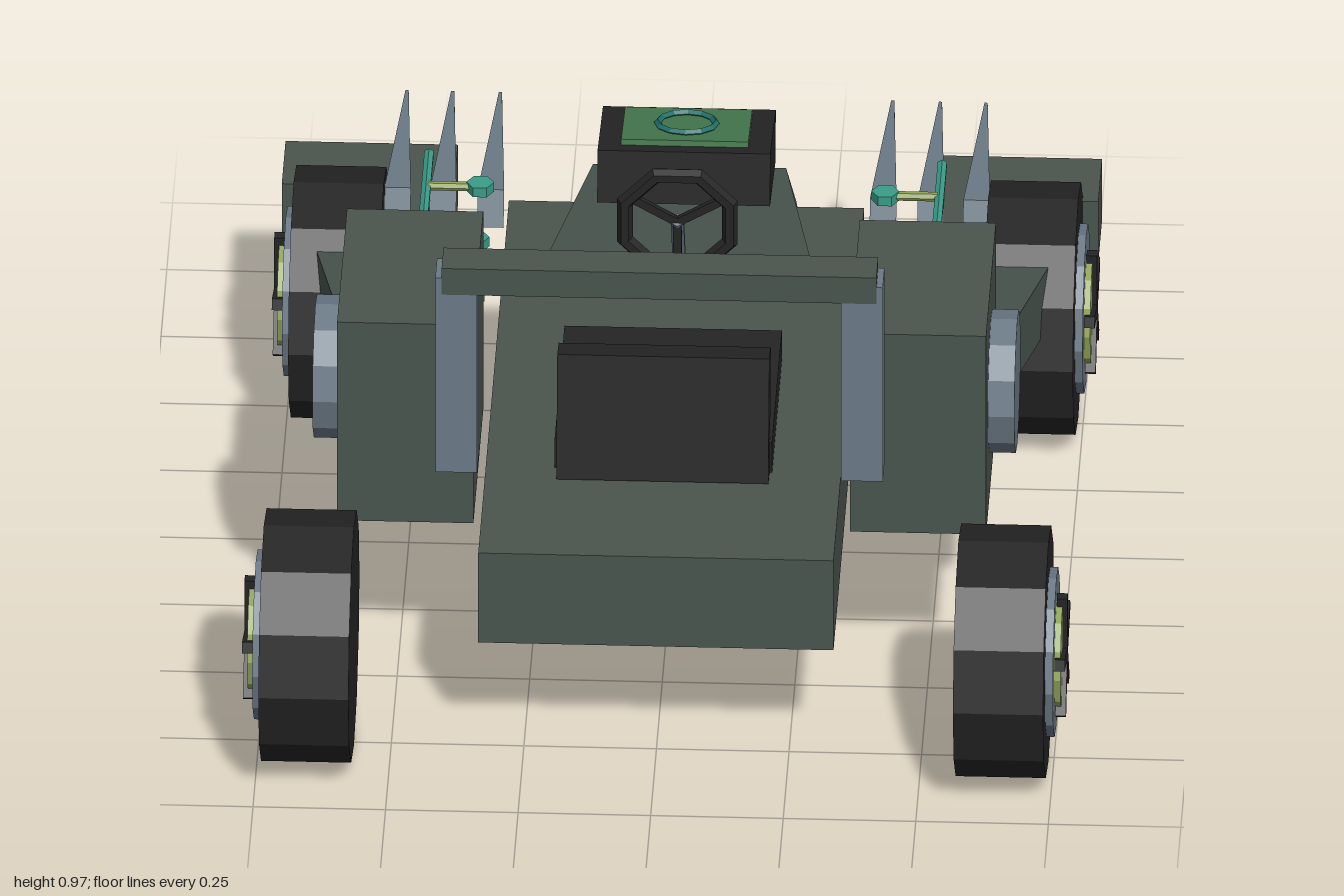
import * as THREE from 'three';

const mat = (name, color) => {
  const m = new THREE.MeshStandardMaterial({ color });
  m.name = name;
  m.flatShading = true;
  return m;
};

export function createModel() {
  const body = mat('body grey green', 0x4a554e);
  const black = mat('black rubber', 0x242424);
  const steel = mat('blue grey steel', 0x6b7a87);
  const olive = mat('olive', 0x92a55c);
  const green = mat('green', 0x45784e);
  const teal = mat('teal', 0x3a9c88);
  const darkTeal = mat('dark teal', 0x22706a);

  const model = new THREE.Group();
  model.name = 'buggy';

  const add = (name, geo, material, x = 0, y = 0, z = 0, parent = model) => {
    const m = new THREE.Mesh(geo, material);
    m.name = name;
    m.position.set(x, y, z);
    parent.add(m);
    return m;
  };
  // box given by its extents
  const block = (name, material, x0, x1, y0, y1, z0, z1, parent) =>
    add(name, new THREE.BoxGeometry(Math.abs(x1 - x0), y1 - y0, z1 - z0), material,
      (x0 + x1) / 2, (y0 + y1) / 2, (z0 + z1) / 2, parent);
  // box whose corners are placed by a rule of the corner signs
  const hexa = (rule) => {
    const g = new THREE.BoxGeometry(2, 2, 2);
    const p = g.attributes.position;
    for (let i = 0; i < p.count; i++) p.setXYZ(i, ...rule(p.getX(i), p.getY(i), p.getZ(i)));
    g.computeVertexNormals();
    return g;
  };
  // cylinder lying along x
  const disc = (r, w, n) => new THREE.CylinderGeometry(r, r, w, n).rotateZ(Math.PI / 2);

  // chassis and sloping cowl
  block('chassis', body, -0.335, 0.335, 0.24, 0.435, -0.545, 0.775);
  add('cowl', hexa((x, y, z) => {
    const top = y > 0;
    if (z > 0) return [x * (top ? 0.25 : 0.265), top ? 0.5 : 0.4, top ? -0.225 : -0.215];
    return [x * (top ? 0.182 : 0.2), top ? 0.44 : 0.35, top ? -0.68 : -0.71];
  }), body);

  // seat
  block('seatBase', black, -0.205, 0.205, 0.435, 0.5, 0.03, 0.45);
  const back = add('seatBack', new THREE.BoxGeometry(0.4, 0.25, 0.065), black, 0, 0.556, 0.445);
  back.rotation.x = -0.18;

  // tilted engine box with plate and ring
  const engine = new THREE.Group();
  engine.name = 'engine';
  engine.position.set(0, 0.54, -0.545);
  engine.rotation.x = -0.17;
  model.add(engine);
  add('engineBox', new THREE.BoxGeometry(0.326, 0.105, 0.238), black, 0, 0, 0, engine);
  add('enginePlate', new THREE.BoxGeometry(0.24, 0.012, 0.175), green, 0, 0.058, 0, engine);
  add('engineRing', new THREE.TorusGeometry(0.055, 0.007, 4, 12).rotateX(Math.PI / 2), darkTeal, 0, 0.067, 0, engine);

  // steering wheel and column
  const wheel = new THREE.Group();
  wheel.name = 'steeringWheel';
  wheel.position.set(0, 0.625, -0.155);
  model.add(wheel);
  add('steeringRim', new THREE.TorusGeometry(0.107, 0.016, 6, 8).rotateZ(Math.PI / 8), black, 0, 0, 0, wheel);
  for (let i = 0; i < 3; i++) {
    const g = new THREE.BoxGeometry(0.016, 0.1, 0.012).translate(0, 0.05, 0);
    add('steeringSpoke', g, black, 0, 0, 0, wheel).rotation.z = Math.PI / 3 + i * Math.PI * 2 / 3;
  }
  const column = add('steeringColumn', new THREE.CylinderGeometry(0.014, 0.014, 0.18, 6), steel, 0, 0.55, -0.2);
  column.rotation.x = 0.52;

  // roll bar
  block('rollBarTop', body, -0.41, 0.41, 0.918, 0.975, 0.562, 0.64);
  for (const s of [-1, 1]) block('rollBarPost', steel, s * 0.343, s * 0.422, 0.53, 0.953, 0.565, 0.638);

  for (const s of [-1, 1]) {
    // side pod with round cap
    block('sidePod', body, s * 0.355, s * 0.612, 0.355, 0.787, 0.102, 0.527);
    add('podCap', disc(0.135, 0.06, 12), steel, s * 0.632, 0.57, 0.32);

    // slanting arm from pod to rear wheel
    add('rearArm', hexa((x, y, z) => z > 0
      ? [s * 0.545 + x * 0.058, 0.45 + y * 0.065, 0.155]
      : [s * 0.656 + x * 0.058, 0.322 + y * 0.065, -0.52]), body);

    // rear fender wrapping behind the wheel
    block('fenderInner', body, s * 0.445, s * 0.6, 0.238, 0.37, -0.86, -0.43);
    block('fenderRear', body, s * 0.6, s * 0.77, 0.238, 0.37, -0.86, -0.7);

    // tapering spikes
    for (const cx of [0.37, 0.46, 0.546]) {
      add('spike', hexa((x, y, z) => {
        const top = y > 0;
        if (z > 0) return [s * cx + x * 0.025, top ? 0.442 : 0.375, top ? -0.572 : -0.545];
        return [s * cx + x * 0.003, top ? 0.417 : 0.375, top ? -0.98 : -1];
      }), steel);
    }

    // side rail with knobs
    add('rail', new THREE.CylinderGeometry(0.01, 0.01, 0.61, 6).rotateX(Math.PI / 2), teal, s * 0.484, 0.555, -0.205);
    for (const z of [-0.385, -0.18, 0.025]) {
      add('knobStem', disc(0.009, 0.085, 6), olive, s * 0.438, 0.557, z);
      add('knob', new THREE.CylinderGeometry(0.026, 0.026, 0.02, 6).rotateY(Math.PI / 6), teal, s * 0.382, 0.557, z);
    }

    // wheels
    for (const z of [0.763, -0.522]) {
      const w = new THREE.Group();
      w.name = z > 0 ? 'frontWheel' : 'rearWheel';
      w.position.set(0, 0.24, z);
      model.add(w);
      add('tire', disc(0.238, 0.17, 12), black, s * 0.655, 0, 0, w);
      add('rim', disc(0.16, 0.04, 12), steel, s * 0.735, 0, 0, w);
      add('hub', disc(0.108, 0.04, 12), olive, s * 0.747, 0, 0, w);
      for (let i = 0; i < 5; i++) {
        const g = new THREE.BoxGeometry(0.02, 0.122, 0.022).translate(0, 0.061, 0);
        add('wheelSpoke', g, black, s * 0.766, 0, 0, w).rotation.x = i * Math.PI * 2 / 5;
      }
    }
  }
  return model;
}
